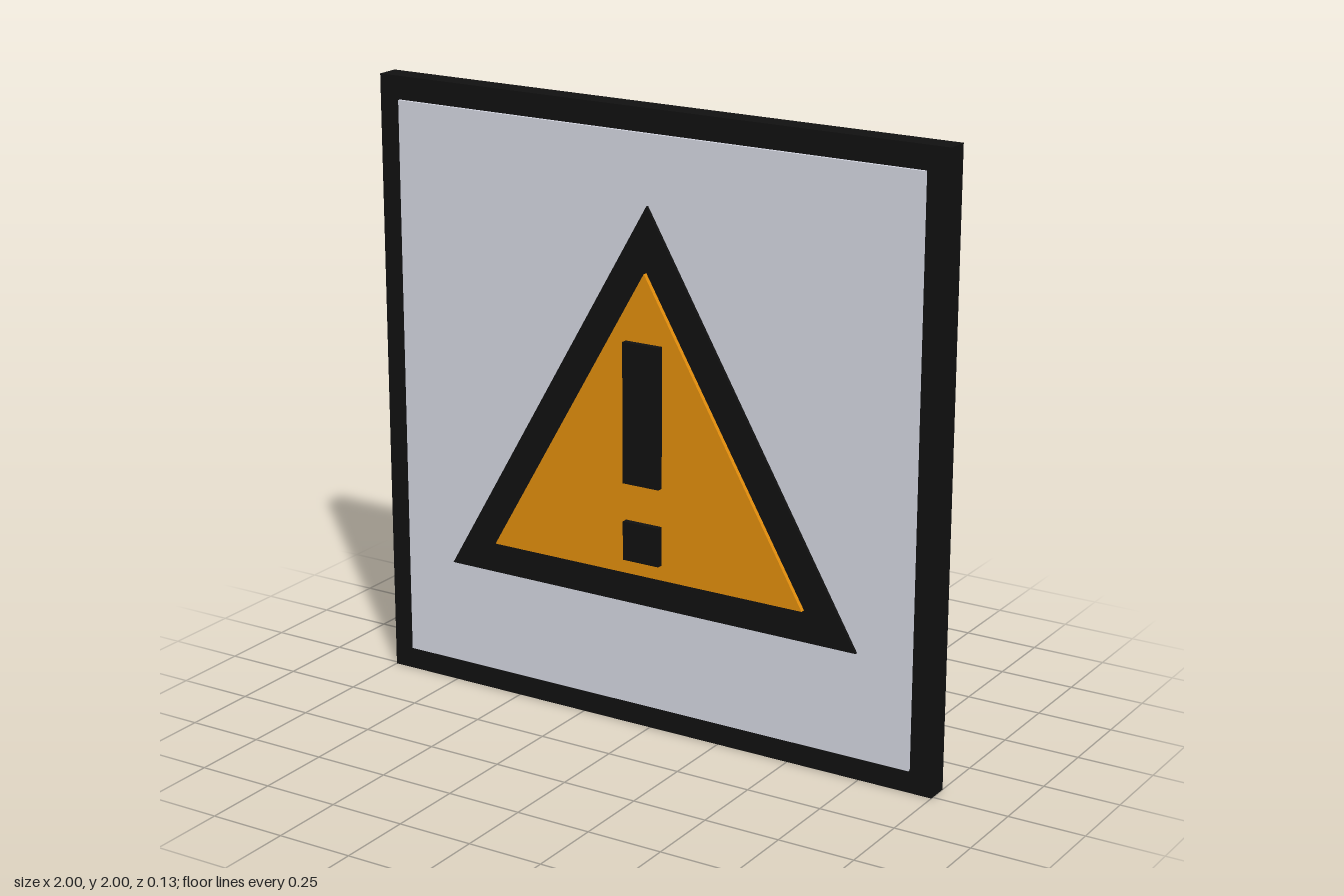
import * as THREE from 'three';

const paint = (name, color) => {
  const m = new THREE.MeshStandardMaterial({ color });
  m.name = name;
  return m;
};

export function createModel() {
  const sign = new THREE.Group();
  sign.name = 'warningSign';
  const black = paint('black', 0x111111);
  const grey = paint('lightGrey', 0xe2e4f0);
  const amber = paint('amber', 0xf59a0f);

  const add = (name, geometry, material, y, z) => {
    const mesh = new THREE.Mesh(geometry, material);
    mesh.name = name;
    mesh.position.set(0, y, z);
    sign.add(mesh);
  };

  // Box spanning y0..y1 and z0..z1, centred on x
  const slab = (name, material, width, y0, y1, z0, z1) =>
    add(name, new THREE.BoxGeometry(width, y1 - y0, z1 - z0), material, (y0 + y1) / 2, (z0 + z1) / 2);

  // Upright equilateral plate around the shared triangle centre
  const triangle = (name, material, radius, z0, z1) => {
    const shape = new THREE.Shape([90, 210, 330].map((deg) => {
      const a = THREE.MathUtils.degToRad(deg);
      return new THREE.Vector2(radius * Math.cos(a), radius * Math.sin(a));
    }));
    const geometry = new THREE.ExtrudeGeometry(shape, { depth: z1 - z0, bevelEnabled: false });
    add(name, geometry, material, 0.848, z0);
  };

  // Backing board and face panel
  slab('board', black, 2, 0, 2, -0.065, 0.01);
  slab('facePanel', grey, 1.85, 0.075, 1.925, 0.01, 0.02);

  // Warning triangle, stacked in layers
  triangle('triangleBorder', black, 0.857, 0.02, 0.03);
  triangle('triangleFill', amber, 0.65, 0.03, 0.045);

  // Exclamation mark
  slab('markBar', black, 0.13, 0.825, 1.28, 0.045, 0.065);
  slab('markDot', black, 0.13, 0.573, 0.7, 0.045, 0.065);

  return sign;
}
